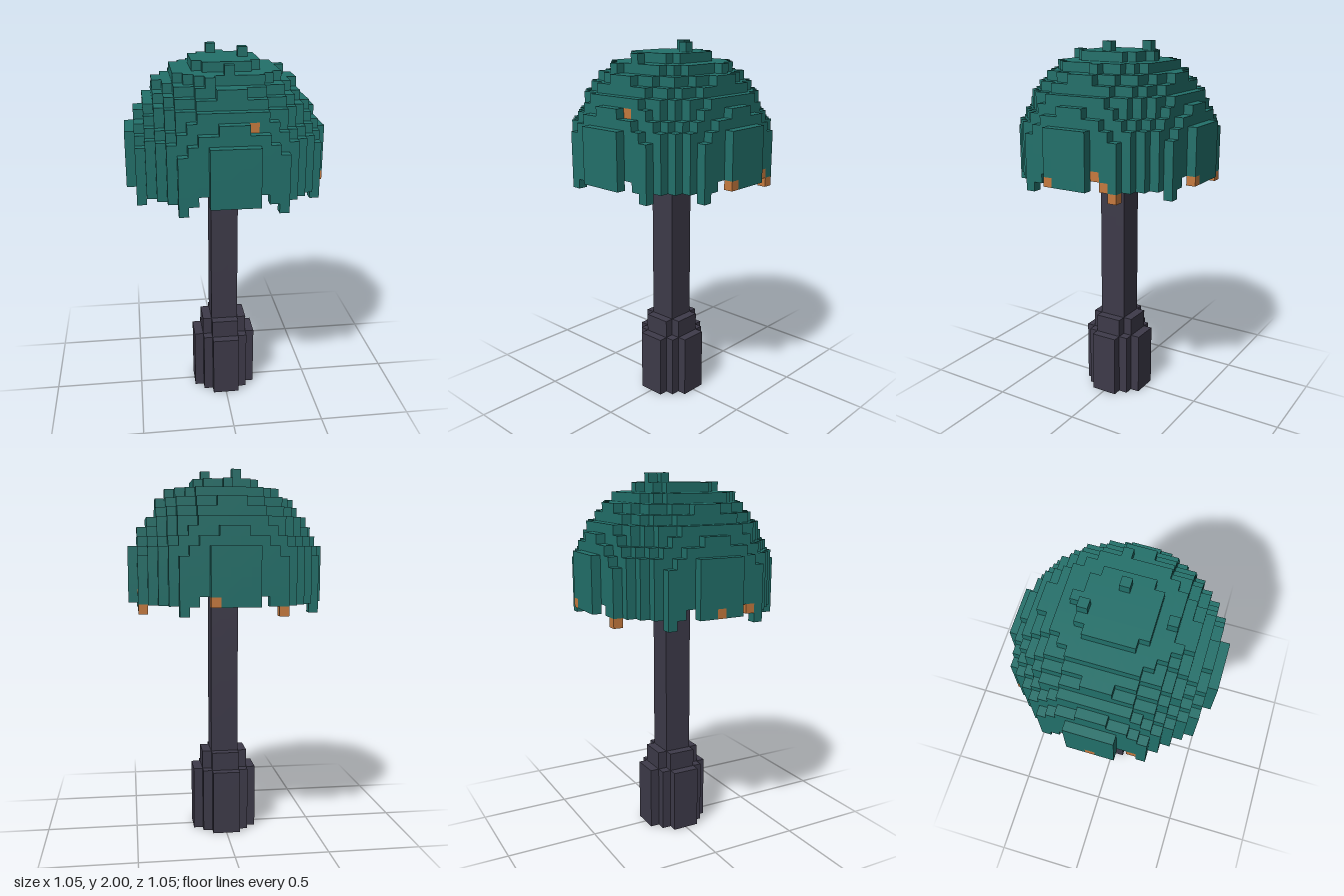
import * as THREE from 'three';
import { mergeGeometries } from 'three/addons/utils/BufferGeometryUtils.js';

const U = 0.05; // cube size
const key = (x, y, z) => `${x},${y},${z}`;

export function createModel() {
  const materials = {
    leaf: new THREE.MeshStandardMaterial({ color: 0x22706a }),
    bark: new THREE.MeshStandardMaterial({ color: 0x3d3a49 }),
    fruit: new THREE.MeshStandardMaterial({ color: 0xc67a3e }),
  };
  for (const [name, m] of Object.entries(materials)) m.name = name;

  const cells = new Map(); // cube position -> part name
  const put = (x, y, z, part) => cells.set(key(x, y, z), part);

  // Canopy: a hollow dome one cube thick, given by the squared radius of each layer
  const bottom = 26;
  const radii = [107, 107, 107, 107, 107, 104, 94, 83, 76, 63.9, 50, 34, 15.8];
  const inside = (x, y, z) => x * x + z * z <= (radii[Math.max(y, bottom) - bottom] ?? -1);
  for (let y = bottom; y < bottom + radii.length; y++)
    for (let x = -10; x <= 10; x++)
      for (let z = -10; z <= 10; z++) {
        if (!inside(x, y, z)) continue;
        const skin = !inside(x + 1, y, z) || !inside(x - 1, y, z) ||
          !inside(x, y, z + 1) || !inside(x, y, z - 1) || !inside(x, y + 1, z);
        if (skin) put(x, y, z, 'canopy');
      }

  // Ragged rim: notches and hanging tips, mirrored to all sides
  for (const sx of [-1, 1])
    for (const sz of [-1, 1])
      for (const [a, b] of [[1, 0], [0, 1]]) {
        const at = (p, q) => [sx * (a * p + b * q), sz * (a * q + b * p)];
        const [nx, nz] = at(9, 3);
        cells.delete(key(nx, 26, nz));
        const [tx, tz] = at(9, 5);
        put(tx, 25, tz, 'canopy');
      }

  // Loose leaf cubes on the crown
  for (const [x, y, z] of [[2, 39, 0], [-1, 39, -3], [0, 38, -4], [0, 38, 5], [6, 37, -1], [-2, 37, 6]])
    put(x, y, z, 'canopy');

  // Fruit
  for (const [x, y, z] of [[2, 33, 8], [10, 26, 2], [9, 25, -5], [9, 26, -4], [9, 27, -3],
    [2, 26, -10], [-5, 25, -9], [-10, 26, 0], [-9, 26, 4], [1, 27, 9]])
    put(x, y, z, 'fruit');

  // Trunk: stepped root flare below a square stem
  for (let y = 0; y < 38; y++) {
    const r2 = y < 7 ? 10 : y < 9 ? 5 : 2;
    for (let x = -3; x <= 3; x++)
      for (let z = -3; z <= 3; z++)
        if (x * x + z * z <= r2) put(x, y, z, 'trunk');
  }

  // One square for each exposed cube side
  const sides = [[1, 0, 0], [-1, 0, 0], [0, 1, 0], [0, -1, 0], [0, 0, 1], [0, 0, -1]].map((d) => {
    const face = new THREE.PlaneGeometry(U, U).translate(0, 0, U / 2);
    const turn = new THREE.Quaternion().setFromUnitVectors(new THREE.Vector3(0, 0, 1), new THREE.Vector3(...d));
    return { d, face: face.applyQuaternion(turn) };
  });
  const faces = { canopy: [], trunk: [], fruit: [] };
  for (const [k, part] of cells) {
    const [x, y, z] = k.split(',').map(Number);
    for (const { d, face } of sides)
      if (!cells.has(key(x + d[0], y + d[1], z + d[2])))
        faces[part].push(face.clone().translate(x * U, (y + 0.5) * U, z * U));
  }

  const group = new THREE.Group();
  group.name = 'tree';
  const coats = { canopy: 'leaf', trunk: 'bark', fruit: 'fruit' };
  for (const part of Object.keys(faces)) {
    const mesh = new THREE.Mesh(mergeGeometries(faces[part]), materials[coats[part]]);
    mesh.name = part;
    group.add(mesh);
  }
  return group;
}
